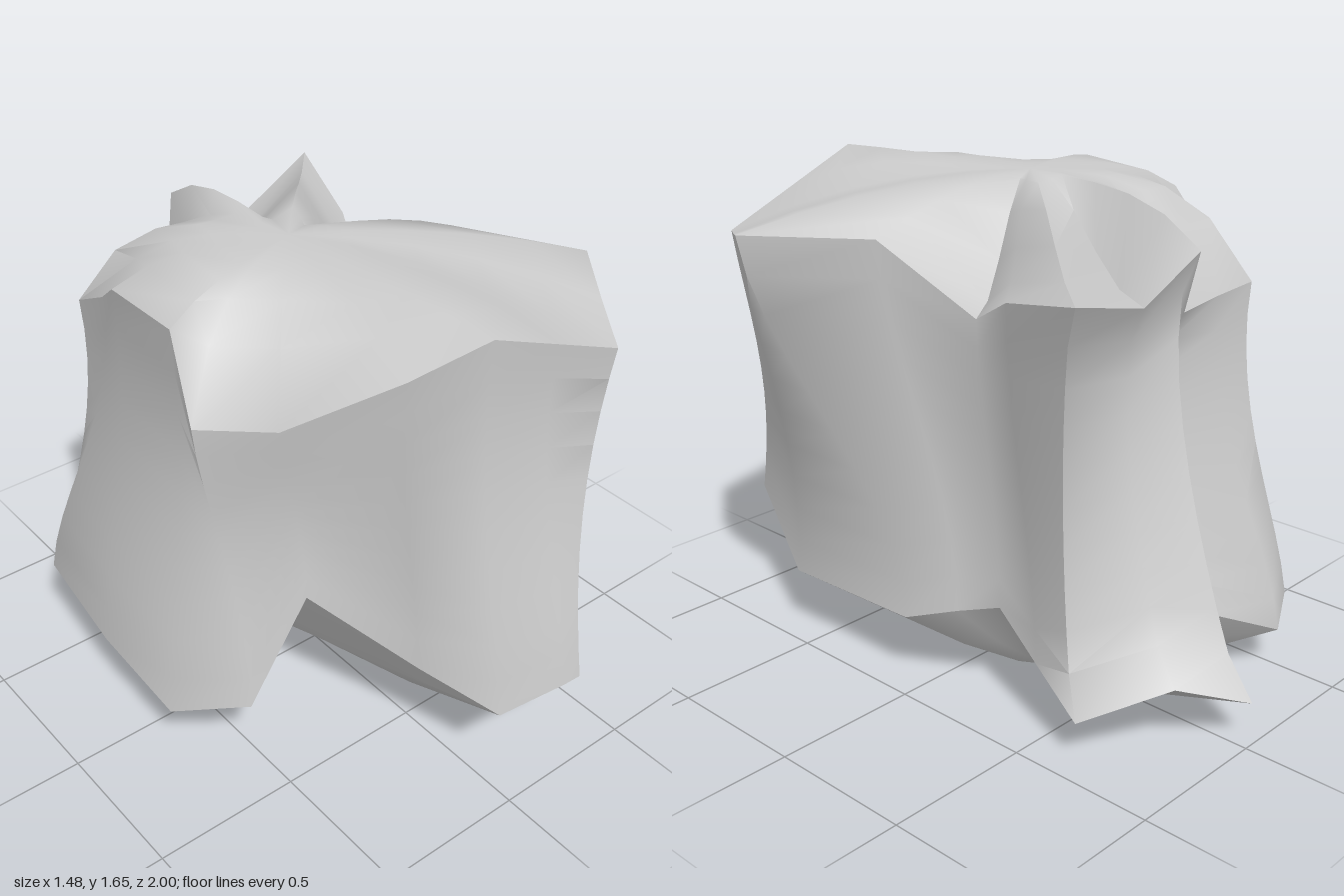
import * as THREE from 'three';
import { toCreasedNormals } from 'three/addons/utils/BufferGeometryUtils.js';

// Upright columns around the block: top x, y, z, then bottom x, y, z
const COLUMNS = [
  [0.48, 1.42, 0.81, 0.27, 0.385, 1.0],
  [0.61, 1.46, 0.62, 0.45, 0.235, 0.59],
  [0.735, 1.505, 0.44, 0.45, 0.25, 0.04],
  [0.51, 1.515, 0.06, 0.37, 0.3, -0.12],
  [0.355, 1.29, -0.2, 0.31, 0.335, -0.25],
  [0.45, 1.4, -0.41, 0.37, 0.24, -0.46],
  [0.555, 1.475, -0.755, 0.425, 0.14, -0.67],
  [0.09, 1.35, -0.62, 0.19, 0.23, -0.86],
  [-0.05, 1.51, -0.71, -0.02, 0.15, -1.0],
  [-0.18, 1.27, -0.565, -0.18, 0.29, -0.705],
  [-0.35, 1.29, -0.57, -0.47, 0.15, -0.795],
  [-0.5, 1.31, -0.59, -0.57, 0.24, -0.75],
  [-0.53, 1.42, -0.385, -0.7, 0.3, -0.61],
  [-0.6, 1.55, -0.2, -0.74, 0.26, -0.2],
  [-0.63, 1.585, 0.15, -0.735, 0.21, 0.175],
  [-0.63, 1.295, 0.23, -0.565, 0.29, 0.385],
  [-0.44, 1.29, 0.39, -0.36, 0.65, 0.41],
  [-0.265, 1.55, 0.72, -0.145, 0.44, 0.7],
  [-0.04, 1.64, 0.81, -0.03, 0.36, 0.95],
  [0.22, 1.53, 0.81, 0.2, 0.39, 1.0],
];

const { lerp, smoothstep } = THREE.MathUtils;
const tops = COLUMNS.map((c) => new THREE.Vector3(c[0], c[1], c[2]));
const bottoms = COLUMNS.map((c) => new THREE.Vector3(c[3], c[4], c[5]));

// Skin between successive rings, listed from top to bottom
function loft(rings) {
  const n = COLUMNS.length;
  const index = [];
  for (let r = 0; r < rings.length - 1; r++) {
    for (let i = 0; i < n; i++) {
      const j = (i + 1) % n;
      const a = r * n + i, b = r * n + j, c = a + n, d = b + n;
      index.push(c, d, b, c, b, a);
    }
  }
  const geometry = new THREE.BufferGeometry().setFromPoints(rings.flat());
  geometry.setIndex(index);
  return toCreasedNormals(geometry, 1.0);
}

// Side wall ring at t (0 top, 1 bottom): eased outline, drawn in at the waist,
// most strongly on the back ridges
function wallRing(t) {
  const ease = smoothstep(t, 0, 1);
  const bow = Math.max(0, Math.sin(Math.PI * t));
  return tops.map((top, i) => {
    const end = bottoms[i];
    const backRidge = top.z < -0.5 && top.x > -0.25;
    const pinch = 1 - (backRidge ? 0.16 * Math.sqrt(bow) : 0.05 * bow);
    return new THREE.Vector3(
      lerp(top.x, end.x, ease) * pinch,
      lerp(top.y, end.y, t),
      lerp(top.z, end.z, ease) * pinch,
    );
  });
}

// Cap ring moved a share of the way to the centre, with height set by rise(inward, column)
function capRing(rim, centre, inward, rise) {
  return rim.map((p, i) => {
    const q = p.clone().lerp(centre, inward);
    q.y = lerp(p.y, centre.y, rise(inward, i));
    return q;
  });
}

// Top: sagging rear arm, gentle right shoulder, full dome elsewhere
function topRise(inward, i) {
  if (i >= 4 && i <= 7) return smoothstep(inward, 0.05, 0.9);
  return 1 - (1 - inward) ** (i < 4 ? 2 : 4);
}

// Underside: rounded cone
function footRise(inward) {
  return 1 - (1 - inward) ** 1.6;
}

export function createModel() {
  const group = new THREE.Group();
  group.name = 'rockBlock';
  const material = new THREE.MeshStandardMaterial({ color: 0xcccccc, side: THREE.DoubleSide });
  const add = (name, rings) => {
    const mesh = new THREE.Mesh(loft(rings), material);
    mesh.name = name;
    group.add(mesh);
  };

  // Ridged side wall
  const levels = 10;
  add('sideWall', Array.from({ length: levels + 1 }, (_, k) => wallRing(k / levels)));

  // Domed top
  const crown = new THREE.Vector3(-0.1, 1.65, 0);
  add('topCap', [1, 0.8, 0.6, 0.4, 0.2, 0].map((s) => capRing(tops, crown, s, topRise)));

  // Shallow rounded underside
  const foot = new THREE.Vector3(-0.02, 0, -0.3);
  add('underside', [0, 0.33, 0.65, 1].map((s) => capRing(bottoms, foot, s, footRise)));

  return group;
}
